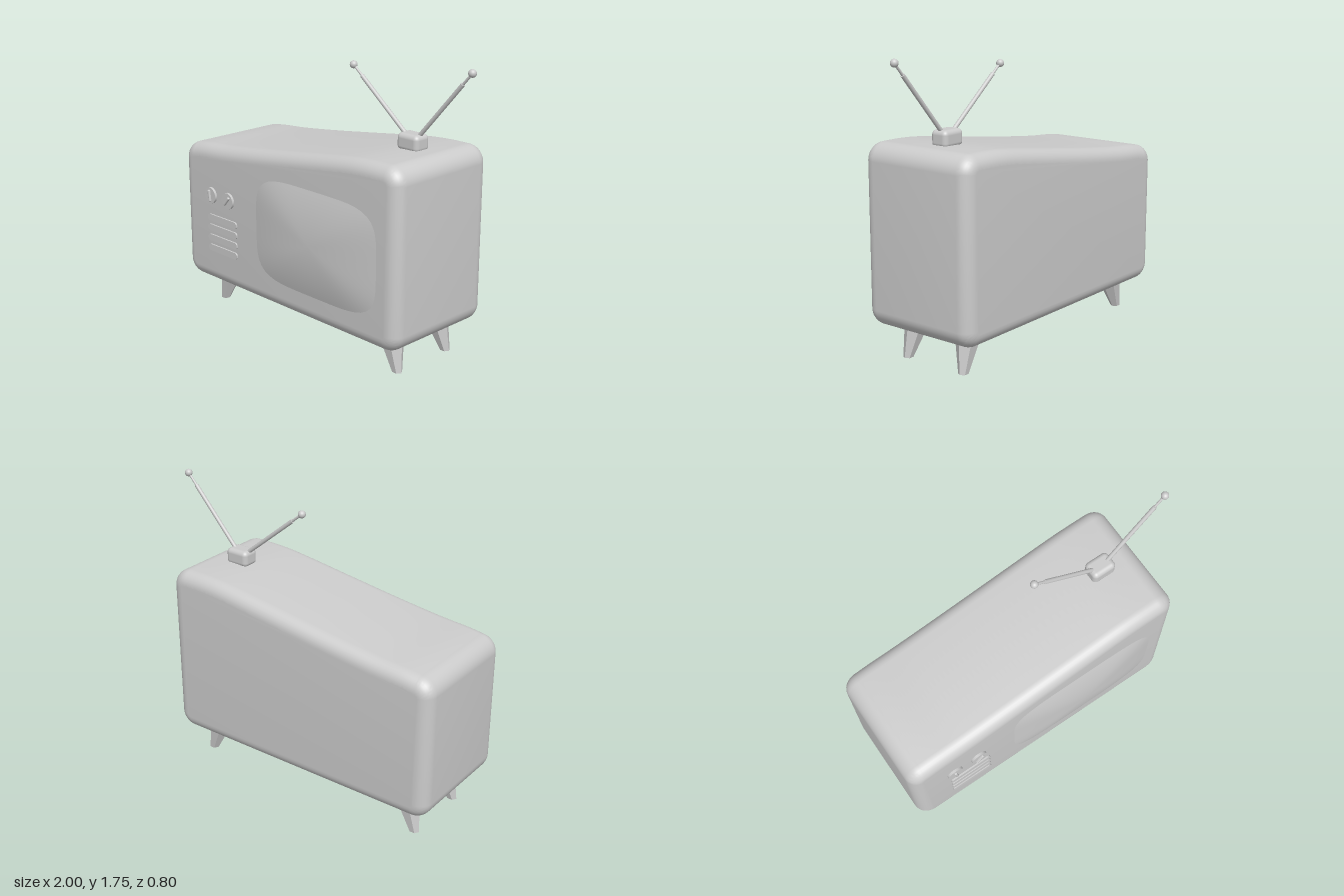
import * as THREE from 'three';
import { toCreasedNormals } from 'three/addons/utils/BufferGeometryUtils.js';
import { RoundedBoxGeometry } from 'three/addons/geometries/RoundedBoxGeometry.js';

const grey = new THREE.MeshStandardMaterial({ color: 0xcccccc });
const facet = new THREE.MeshStandardMaterial({ color: 0xcccccc, flatShading: true });
const FRONT = 0.36, BACK = -0.4;

function add(parent, name, geometry, x = 0, y = 0, z = 0, material = grey) {
  const mesh = new THREE.Mesh(geometry, material);
  mesh.name = name;
  mesh.position.set(x, y, z);
  parent.add(mesh);
  return mesh;
}

// Cabinet: side-to-side profile with a sweeping top, extruded with round edges
function cabinetGeometry() {
  const b = 0.08, r = 0.025;
  const L = -1 + b, R = 0.83 - b, B = 0.19 + b, TL = 1.07 - b, TR = 1.255 - b;
  const s = new THREE.Shape();
  s.moveTo(L + r, B);
  s.lineTo(R - r, B);
  s.absarc(R - r, B + r, r, -Math.PI / 2, 0, false);
  s.lineTo(R, TR - r);
  s.absarc(R - r, TR - r, r, 0, Math.PI / 2, false);
  s.splineThru([[0.57, 1.252], [0.4, 1.236], [0, 1.179], [-0.3, 1.137], [-0.6, 1.1], [-0.8, 1.083], [L + r, 1.07]]
    .map(([x, y]) => new THREE.Vector2(x, y - b)));
  s.absarc(L + r, TL - r, r, Math.PI / 2, Math.PI, false);
  s.lineTo(L, B + r);
  s.absarc(L + r, B + r, r, Math.PI, Math.PI * 1.5, false);
  const g = new THREE.ExtrudeGeometry(s, {
    depth: FRONT - BACK - 2 * b, bevelSize: b, bevelThickness: b, bevelSegments: 8, curveSegments: 8,
  });
  g.translate(0, 0, BACK + b);
  return toCreasedNormals(g, 0.7);
}

// Screen: a disc squared off into a rounded rectangle and domed forward
function screenGeometry() {
  const g = new THREE.RingGeometry(0.0001, 1, 72, 16);
  const p = g.attributes.position;
  for (let i = 0; i < p.count; i++) {
    const r = Math.hypot(p.getX(i), p.getY(i));
    const c = p.getX(i) / r, s = p.getY(i) / r;
    const k = r / Math.pow(Math.abs(c) ** 4.5 + Math.abs(s) ** 4.5, 1 / 4.5);
    p.setXYZ(i, 0.19 + 0.5 * k * c, 0.678 + 0.325 * k * s, FRONT - 0.001 + 0.045 * (1 - r * r));
  }
  g.computeVertexNormals();
  return g;
}

// Speaker slat: flat pill
function slatGeometry() {
  const h = 0.117, r = 0.021;
  const s = new THREE.Shape();
  s.absarc(h, 0, r, -Math.PI / 2, Math.PI / 2, false);
  s.absarc(-h, 0, r, Math.PI / 2, Math.PI * 1.5, false);
  return toCreasedNormals(new THREE.ExtrudeGeometry(s, { depth: 0.02, bevelEnabled: false, curveSegments: 10 }), 0.7);
}

// Leg: six-sided taper, sheared so the foot splays outward
function legGeometry(sx, sz) {
  const g = new THREE.CylinderGeometry(0.082, 0.032, 0.21, 6, 1);
  g.rotateY(Math.PI / 6);
  const p = g.attributes.position;
  for (let i = 0; i < p.count; i++) {
    const t = 0.5 - p.getY(i) / 0.21;
    p.setX(i, p.getX(i) + sx * 0.065 * t);
    p.setZ(i, p.getZ(i) * 0.9 + sz * 0.018 * t);
  }
  g.computeVertexNormals();
  return g;
}

// Cylinder between two points
function rod(parent, name, a, b, r) {
  const d = b.clone().sub(a);
  const mesh = add(parent, name, new THREE.CylinderGeometry(r, r, d.length(), 14));
  mesh.position.copy(a).addScaledVector(d, 0.5);
  mesh.quaternion.setFromUnitVectors(new THREE.Vector3(0, 1, 0), d.normalize());
}

export function createModel() {
  const tv = new THREE.Group();
  tv.name = 'television';
  add(tv, 'cabinet', cabinetGeometry());
  add(tv, 'screen', screenGeometry());

  // Tuning knobs with a raised grip
  for (const [x, turn] of [[-0.725, 0.12], [-0.56, -0.72]]) {
    const knob = new THREE.Group();
    knob.name = 'knob';
    knob.position.set(x, 0.77, FRONT);
    add(knob, 'knobDial', new THREE.CylinderGeometry(0.051, 0.051, 0.03, 32).rotateX(Math.PI / 2));
    add(knob, 'knobGrip', new RoundedBoxGeometry(0.017, 0.074, 0.024, 2, 0.006), 0, 0, 0.015).rotation.z = turn;
    tv.add(knob);
  }

  // Speaker grille
  for (let i = 0; i < 4; i++) add(tv, 'speakerSlat', slatGeometry(), -0.622, 0.625 - i * 0.0665, FRONT - 0.01);

  // Legs
  for (const sx of [-1, 1]) {
    for (const sz of [-1, 1]) {
      add(tv, 'leg', legGeometry(sx, sz), -0.08 + sx * 0.7, 0.105, -0.032 + sz * 0.19, facet);
    }
  }

  // Antenna: base, two telescopic rods and ball tips
  const antenna = new THREE.Group();
  antenna.name = 'antenna';
  const z = -0.042;
  add(antenna, 'antennaBase', new RoundedBoxGeometry(0.155, 0.1, 0.112, 5, 0.028), 0.573, 1.288, z);
  for (const [x0, x1, y1] of [[0.535, 0.11, 1.655], [0.605, 0.975, 1.73]]) {
    const a = new THREE.Vector3(x0, 1.312, z), tip = new THREE.Vector3(x1, y1, z);
    const mid = a.clone().lerp(tip, 0.84);
    rod(antenna, 'antennaRod', a, mid, 0.0125);
    rod(antenna, 'antennaRodEnd', mid, tip, 0.0075);
    add(antenna, 'antennaTip', new THREE.SphereGeometry(0.023, 20, 14), x1, y1, z);
  }
  tv.add(antenna);
  return tv;
}
